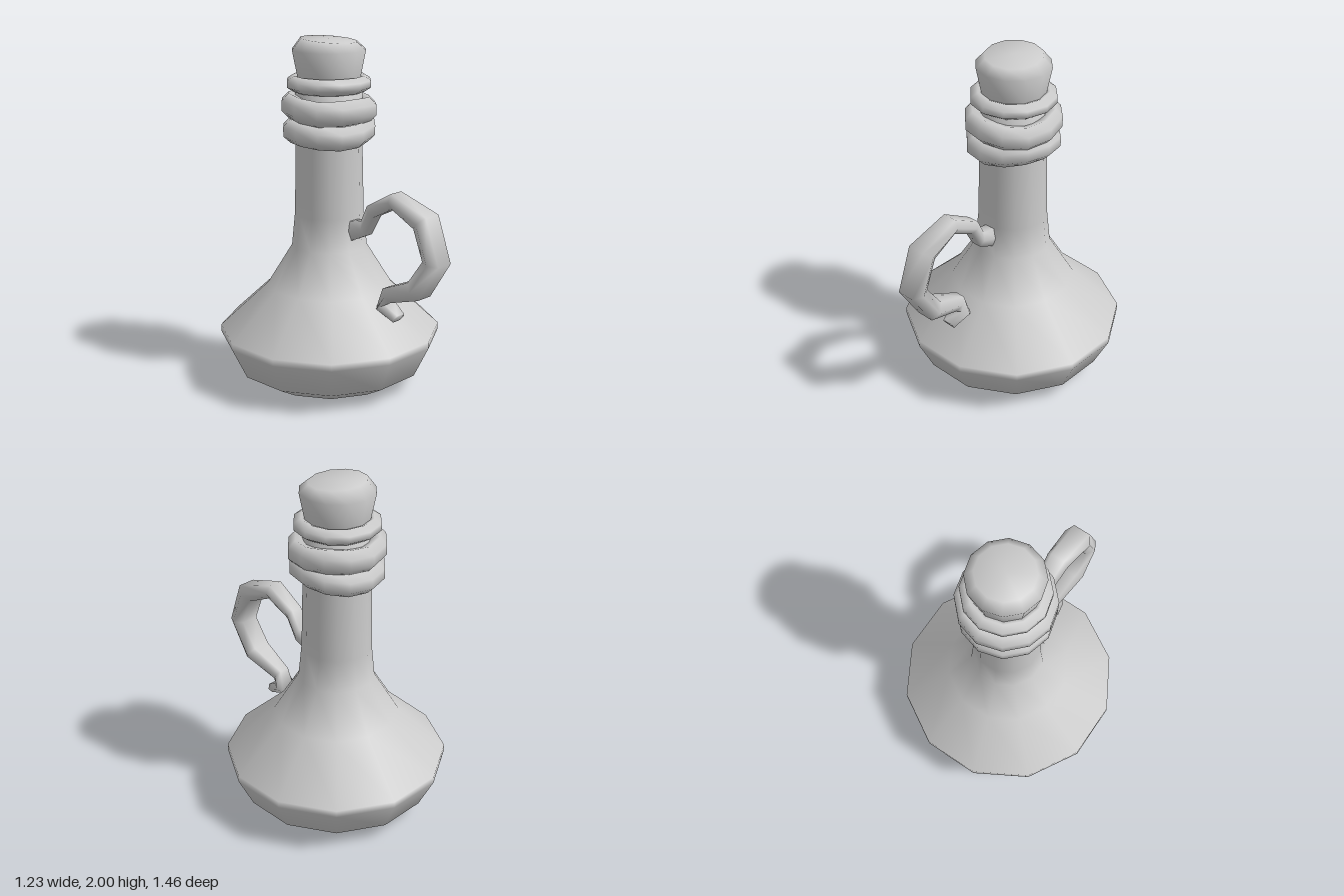
import * as THREE from 'three';
import { mergeVertices } from 'three/addons/utils/BufferGeometryUtils.js';

const SIDES = 12;
const AXIS_Z = -0.117; // the bottle sits behind centre, the handle in front
const material = new THREE.MeshStandardMaterial({ color: 0xcccccc });

// Revolved part with seamless smooth normals; lift(x, z, y) bends it up or down
function revolve(name, profile, phi = 0, lift = () => 0) {
  let geo = new THREE.LatheGeometry(profile.map(([r, y]) => new THREE.Vector2(r, y)), SIDES, phi);
  geo.deleteAttribute('uv');
  geo.deleteAttribute('normal');
  geo = mergeVertices(geo, 1e-4);
  const p = geo.attributes.position;
  for (let i = 0; i < p.count; i++) p.setY(i, p.getY(i) + lift(p.getX(i), p.getZ(i), p.getY(i)));
  geo.computeVertexNormals();
  const mesh = new THREE.Mesh(geo, material);
  mesh.name = name;
  mesh.position.z = AXIS_Z;
  return mesh;
}

// Collar ring with a chunky six-sided section
function collar(name, y, rOut, h, lift) {
  const flat = h * 0.42;
  const profile = [
    [0.165, y - h * 0.7], [rOut - 0.04, y - h], [rOut, y - flat],
    [rOut, y + flat], [rOut - 0.04, y + h], [0.165, y + h * 0.7], [0.165, y - h * 0.7],
  ];
  return revolve(name, profile, 0, lift);
}

// Handle lofted through sections: outer z, y, inner z, y, half width
function makeHandle() {
  const sections = [
    [0.03, 0.98, 0.03, 0.85, 0.05],
    [0.155, 1.0, 0.185, 0.92, 0.05],
    [0.205, 1.1, 0.25, 1.04, 0.055],
    [0.385, 1.2, 0.395, 1.115, 0.07],
    [0.64, 1.115, 0.555, 1.04, 0.085],
    [0.73, 0.86, 0.62, 0.87, 0.085],
    [0.595, 0.645, 0.52, 0.73, 0.085],
    [0.38, 0.575, 0.32, 0.645, 0.048],
    [0.35, 0.56, 0.285, 0.52, 0.07],
    [0.43, 0.51, 0.4, 0.465, 0.045],
  ];
  const pos = [], idx = [], n = 6;
  for (const [oz, oy, iz, iy, w] of sections) {
    const mz = (oz + iz) / 2, my = (oy + iy) / 2, f = w * 0.62;
    pos.push(f, oy, oz, -f, oy, oz, -w, my, mz, -f, iy, iz, f, iy, iz, w, my, mz);
  }
  const last = (sections.length - 1) * n;
  for (let s = 0; s < last; s += n) {
    for (let j = 0; j < n; j++) {
      const k = (j + 1) % n;
      idx.push(s + j, s + k, s + n + k, s + j, s + n + k, s + n + j);
    }
  }
  for (let j = 1; j < n - 1; j++) {
    idx.push(0, j + 1, j, last, last + j, last + j + 1); // end caps
  }
  const geo = new THREE.BufferGeometry();
  geo.setAttribute('position', new THREE.Float32BufferAttribute(pos, 3));
  geo.setIndex(idx);
  geo.computeVertexNormals();
  const mesh = new THREE.Mesh(geo, material);
  mesh.name = 'handle';
  return mesh;
}

export function createModel() {
  const group = new THREE.Group();
  group.name = 'flask';

  // Body and neck: radii measured to the flats of the twelve-sided section
  const flats = [
    [0, 0], [0.27, 0.005], [0.39, 0.018], [0.53, 0.1], [0.615, 0.28], [0.615, 0.32],
    [0.345, 0.58], [0.208, 0.81], [0.19, 1.0], [0.182, 1.4], [0.182, 1.72], [0, 1.72],
  ];
  const c = Math.cos(Math.PI / SIDES);
  group.add(revolve('body', flats.map(([r, y]) => [r / c, y]), Math.PI / SIDES));

  // Three collar rings, the lower two slightly wavy
  group.add(collar('lowerRing', 1.482, 0.265, 0.066,
    (x, z) => 0.05 * x - 0.012 * Math.cos(2 * Math.atan2(x, z) + 0.6)));
  group.add(collar('middleRing', 1.61, 0.272, 0.07,
    (x, z) => -0.02 * x - 0.03 * z + 0.008 * Math.cos(3 * Math.atan2(x, z))));
  group.add(collar('upperRing', 1.745, 0.24, 0.045));

  // Stopper with a slightly tilted top
  group.add(revolve('stopper', [
    [0, 1.7], [0.17, 1.7], [0.182, 1.79], [0.21, 1.93], [0.16, 1.985], [0, 1.99],
  ], 0, (x, z, y) => (y > 1.95 ? -0.04 * x - 0.06 * z : 0)));

  group.add(makeHandle());
  return group;
}
